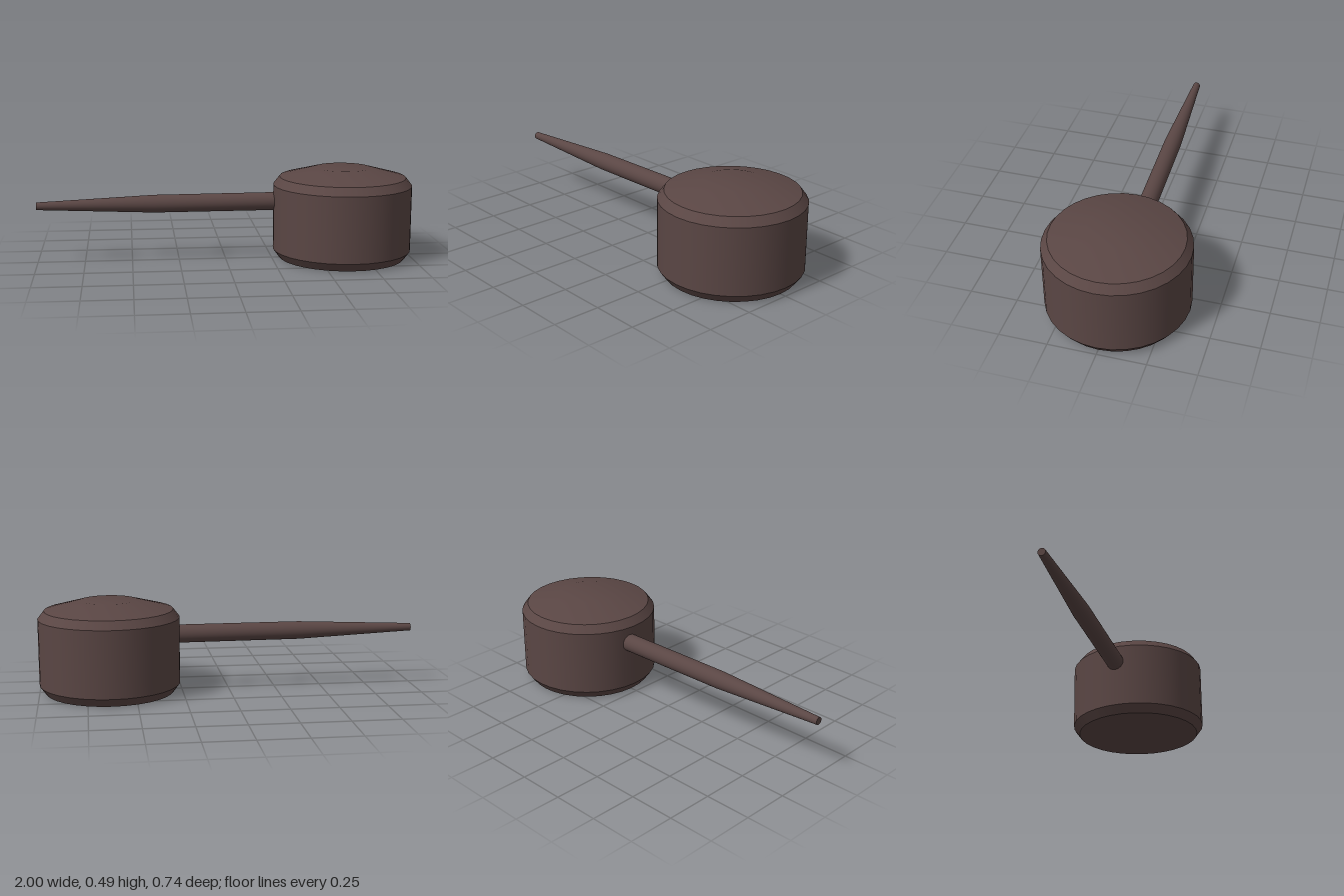
import * as THREE from 'three';

const SEGMENTS = 32;

// Revolve a short profile, listed from bottom to top
function lathe(name, points, material) {
  const profile = points.map(([r, y]) => new THREE.Vector2(r, y));
  const mesh = new THREE.Mesh(new THREE.LatheGeometry(profile, SEGMENTS), material);
  mesh.name = name;
  return mesh;
}

export function createModel() {
  const model = new THREE.Group();
  model.name = 'longHandledMallet';
  const brown = new THREE.MeshStandardMaterial({ color: 0x5a4644 });
  brown.name = 'darkBrown';

  // Round head: separate bands keep the bevel edges sharp
  const head = new THREE.Group();
  head.name = 'head';
  head.position.x = 0.63;
  head.add(
    lathe('headBase', [[0, 0], [0.338, 0]], brown),
    lathe('lowerBevel', [[0.338, 0], [0.371, 0.045]], brown),
    lathe('headWall', [[0.371, 0.045], [0.371, 0.395]], brown),
    lathe('upperBevel', [[0.371, 0.395], [0.338, 0.438]], brown),
    lathe('domedTop', [[0.338, 0.438], [0.15, 0.488], [0, 0.488]], brown),
  );

  // Handle: straight near the head, tapering to the tip, slightly skewed in plan
  const handle = new THREE.Group();
  handle.name = 'handle';
  handle.position.set(-1, 0.304, 0.001);
  const direction = new THREE.Vector3(1.3, 0, -0.03).normalize();
  handle.quaternion.setFromUnitVectors(new THREE.Vector3(0, 1, 0), direction);
  handle.add(
    lathe('handleTip', [[0, 0], [0.02, 0]], brown),
    lathe('handleShaft', [[0.02, 0], [0.047, 0.62], [0.048, 1.31]], brown),
    lathe('handleEnd', [[0.048, 1.31], [0, 1.31]], brown),
  );

  model.add(head, handle);
  return model;
}
